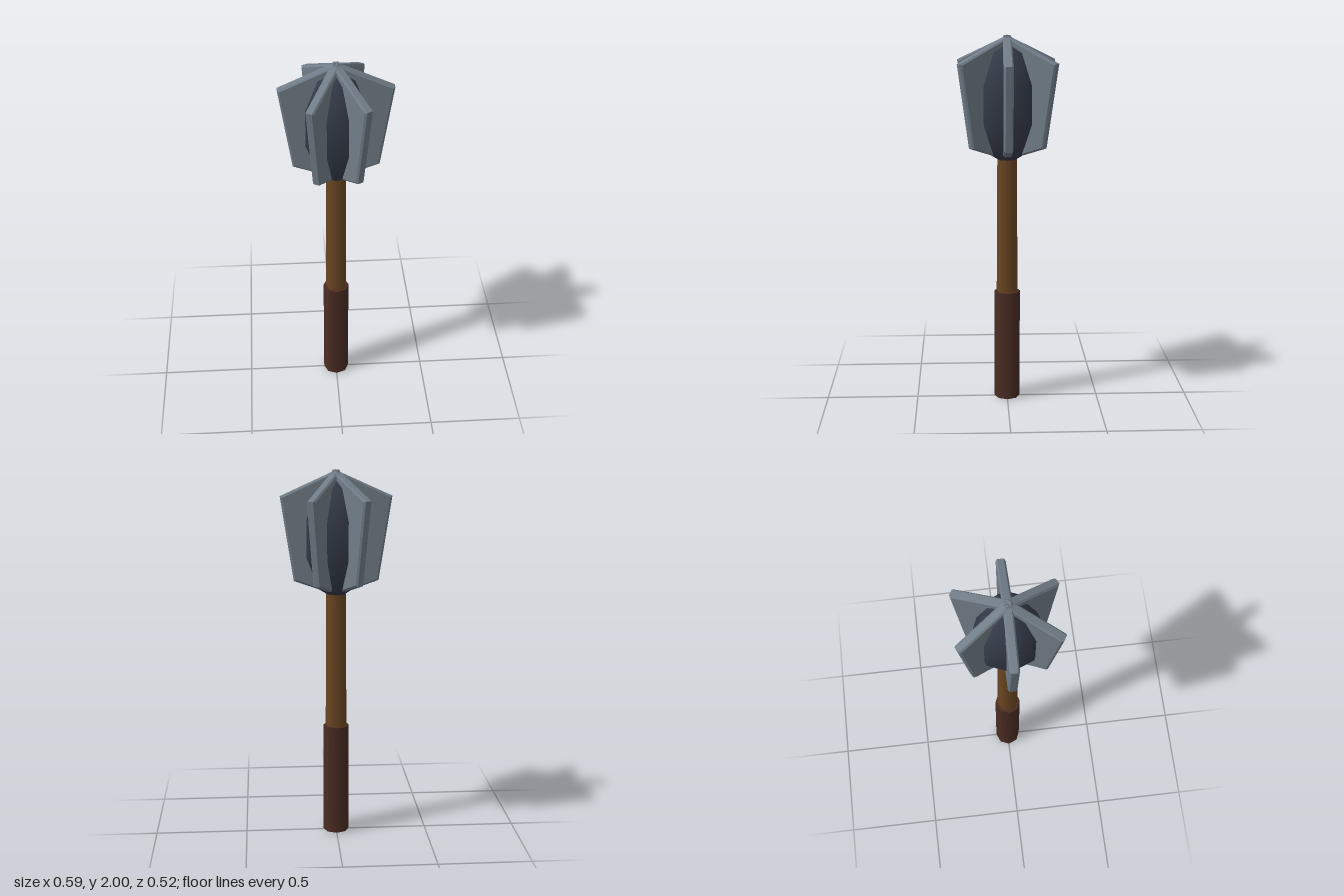
import * as THREE from 'three';

const paint = (name, color) => {
  const m = new THREE.MeshStandardMaterial({ color });
  m.name = name;
  return m;
};

export function createModel() {
  const steel = paint('steel', 0x717d88);
  const darkIron = paint('dark iron', 0x343a48);
  const wood = paint('wood', 0x6a4622);
  const leather = paint('leather', 0x4a2c23);

  const model = new THREE.Group();
  model.name = 'flangedMace';
  const add = (name, geometry, material, y = 0) => {
    const mesh = new THREE.Mesh(geometry, material);
    mesh.name = name;
    mesh.position.y = y;
    model.add(mesh);
    return mesh;
  };

  // Tapered shaft, running from the pommel end into the head
  add('shaft', new THREE.CylinderGeometry(0.052, 0.061, 1.4, 8), wood, 0.7);

  // Grip sleeve around the lower shaft
  add('grip', new THREE.CylinderGeometry(0.07, 0.07, 0.612, 8), leather, 0.309);

  // Faceted-outline core, stretched upright
  const core = new THREE.SphereGeometry(0.175, 8, 5);
  core.scale(1, 0.33 / 0.175, 1);
  add('headCore', core, darkIron, 1.645);

  // Six bevelled flanges around the head
  const outline = new THREE.Shape([
    new THREE.Vector2(0, 1.988),
    new THREE.Vector2(0.282, 1.858),
    new THREE.Vector2(0.216, 1.428),
    new THREE.Vector2(0, 1.35),
  ]);
  const flange = new THREE.ExtrudeGeometry(outline, {
    depth: 0.032,
    bevelEnabled: true,
    bevelThickness: 0.008,
    bevelSize: 0.01,
    bevelSegments: 1,
  });
  flange.translate(0, 0, -0.016);
  for (let i = 0; i < 6; i++) {
    add(`flange${i + 1}`, flange, steel).rotation.y = (i * Math.PI) / 3;
  }

  return model;
}
